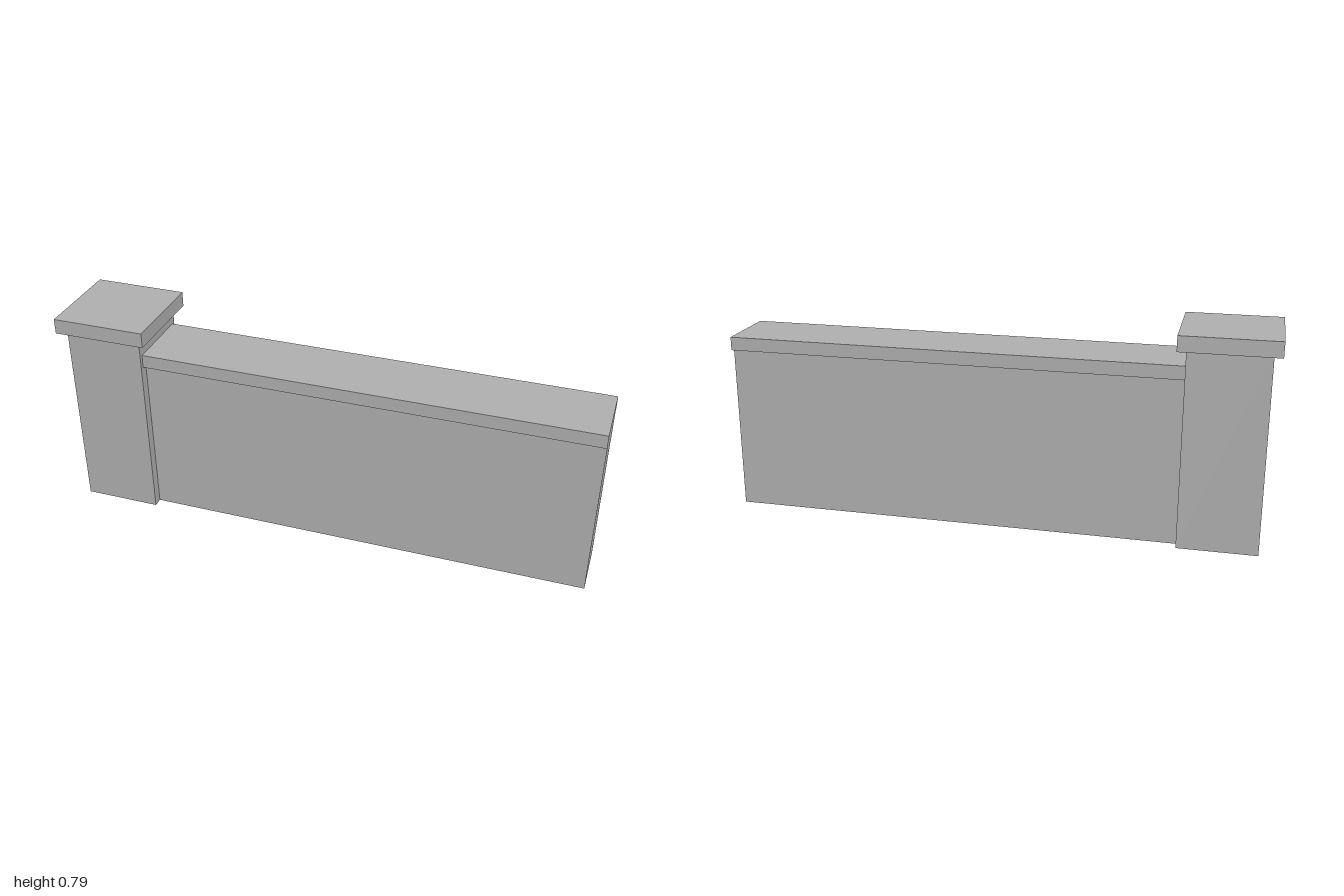
import * as THREE from 'three';

// Box given by its limits; z is symmetric. Open boxes have no bottom face.
function block(name, material, [x0, x1], [y0, y1], halfDepth, open = false) {
  const geometry = new THREE.BoxGeometry(x1 - x0, y1 - y0, halfDepth * 2);
  if (open) {
    const index = Array.from(geometry.index.array);
    index.splice(18, 6); // the downward face
    geometry.setIndex(index);
    geometry.clearGroups();
  }
  geometry.translate((x0 + x1) / 2, (y0 + y1) / 2, 0);
  const mesh = new THREE.Mesh(geometry, material);
  mesh.name = name;
  return mesh;
}

export function createModel() {
  const stone = new THREE.MeshStandardMaterial({ color: 0xb2b2b2, side: THREE.DoubleSide });
  stone.name = 'stone grey';

  const model = new THREE.Group();
  model.name = 'wallWithPillar';
  model.add(
    // Pillar and its overhanging cap
    block('pillar', stone, [-0.97, -0.68], [0, 0.732], 0.145, true),
    block('pillarCap', stone, [-1, -0.65], [0.732, 0.789], 0.175),
    // Wall running from the pillar, with a coping wider than the wall
    block('wall', stone, [-0.68, 1], [0, 0.622], 0.109, true),
    block('wallCoping', stone, [-0.68, 1], [0.622, 0.672], 0.13)
  );
  return model;
}
